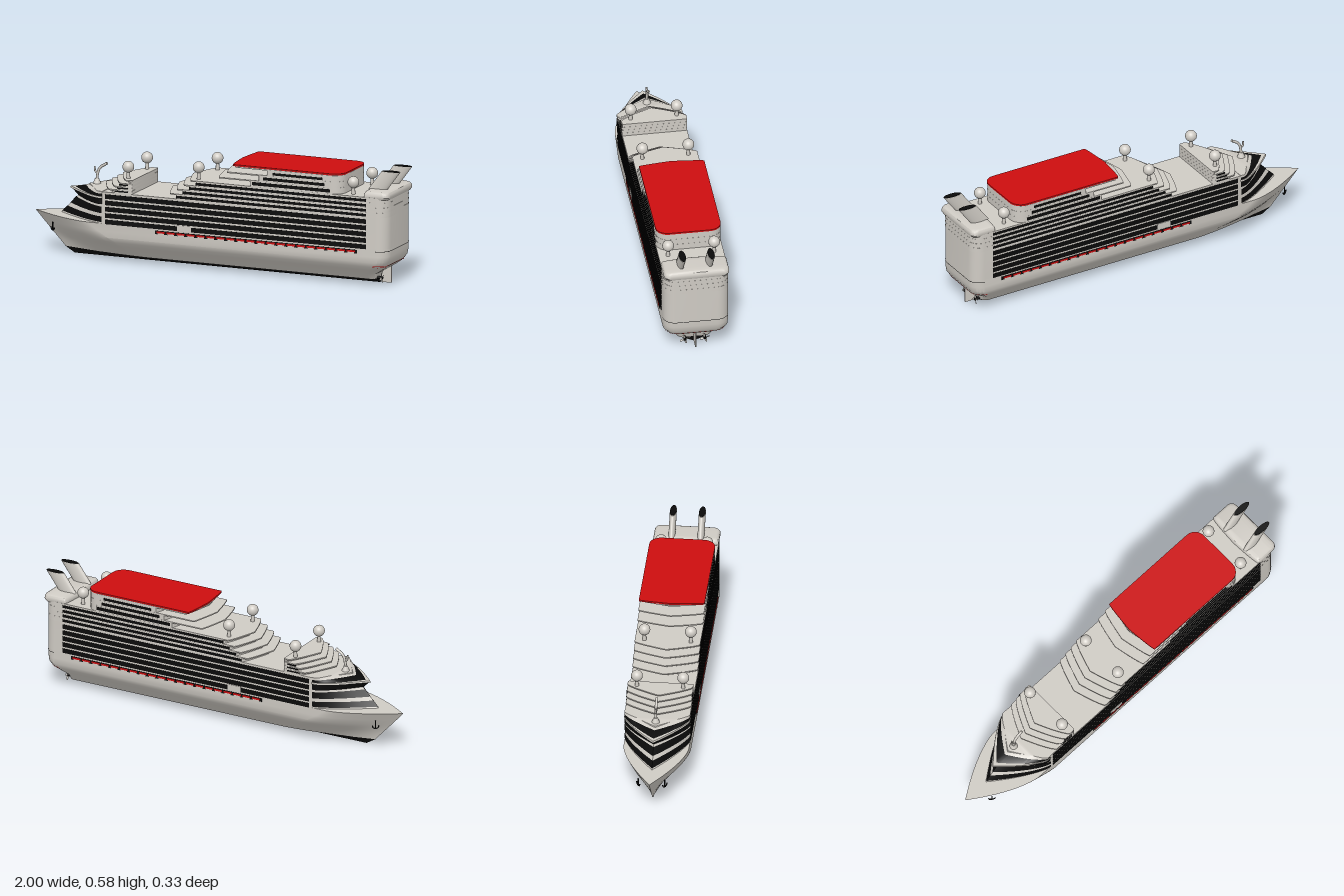
import * as THREE from 'three';
import { toCreasedNormals } from 'three/addons/utils/BufferGeometryUtils.js';

const paint = (name, color) => new THREE.MeshStandardMaterial({ name, color, side: THREE.DoubleSide });

// Half of a ship-shaped plan: curved nose, straight side, rounded stern corner
function halfPlan({ bow, nose, hw, stern, r = 0.01, p = 1.5 }) {
  const pts = [], R = Math.min(r, hw * 0.9);
  for (let i = 0; i <= 14; i++) {
    const t = i / 14;
    pts.push([bow + nose * t, hw * (1 - (1 - t) ** p)]);
  }
  for (let k = 0; k <= 6; k++) {
    const a = (k / 6) * Math.PI / 2;
    pts.push([stern - R + R * Math.sin(a), hw - R + R * Math.cos(a)]);
  }
  pts.push([stern, 0]);
  return pts;
}

// Skin stacked plans; "from" and "to" keep only that stretch of x
function loft(levels, { caps = true, from = -9, to = 9 } = {}) {
  const pos = [];
  const quad = (a, b, c, d) => pos.push(...a, ...b, ...c, ...a, ...c, ...d);
  const rings = levels.map((l) => {
    const h = halfPlan(l);
    return { l: h.map(([x, z]) => [x, l.y, z]), r: h.map(([x, z]) => [x, l.y, -z]) };
  });
  const n = rings[0].l.length;
  for (let k = 0; k + 1 < rings.length; k++) {
    const A = rings[k], B = rings[k + 1];
    for (let i = 0; i + 1 < n; i++) {
      if (A.l[i][0] < from || A.l[i + 1][0] > to) continue;
      quad(A.l[i], A.l[i + 1], B.l[i + 1], B.l[i]);
      quad(A.r[i + 1], A.r[i], B.r[i], B.r[i + 1]);
    }
  }
  if (caps) {
    const T = rings[rings.length - 1], B = rings[0];
    for (let i = 0; i + 1 < n; i++) {
      quad(T.l[i], T.l[i + 1], T.r[i + 1], T.r[i]);
      quad(B.r[i], B.r[i + 1], B.l[i + 1], B.l[i]);
    }
  }
  const g = new THREE.BufferGeometry();
  g.setAttribute('position', new THREE.Float32BufferAttribute(pos, 3));
  return toCreasedNormals(g, 0.6);
}

// Hull waterlines: y, bow, nose length, half width, stern, corner radius
const HULL = [
  [0, -0.79, 0.5, 0.002, 0.86, 0.002], [0.03, -0.84, 0.48, 0.085, 0.865, 0.03],
  [0.06, -0.868, 0.46, 0.11, 0.875, 0.05], [0.085, -0.892, 0.43, 0.132, 0.915, 0.06],
  [0.105, -0.911, 0.41, 0.148, 0.94, 0.06], [0.13, -0.935, 0.39, 0.162, 0.956, 0.06],
  [0.16, -0.963, 0.37, 0.162, 0.962, 0.06], [0.2, -1, 0.35, 0.162, 0.962, 0.06],
];
function hullAt(y, out = 0) {
  let k = 0;
  while (k < HULL.length - 2 && HULL[k + 1][0] < y) k++;
  const t = (y - HULL[k][0]) / (HULL[k + 1][0] - HULL[k][0]);
  const [, bow, nose, hw, stern, r] = HULL[k].map((v, i) => v + (HULL[k + 1][i] - v) * t);
  return { y, bow: bow - out, nose, hw: hw + out, stern: stern + out, r };
}

export function createModel() {
  const ship = new THREE.Group();
  ship.name = 'cruiseShip';
  const white = paint('hullWhite', 0xcfcbc4), black = paint('windowBlack', 0x0a0a0a), red = paint('roofRed', 0xcc0d0f);
  const add = (name, geo, mat, x = 0, y = 0, z = 0) => {
    const m = new THREE.Mesh(geo, mat);
    m.name = name;
    m.position.set(x, y, z);
    ship.add(m);
    return m;
  };
  const box = (name, mat, x0, x1, y0, y1, z, d) =>
    add(name, new THREE.BoxGeometry(x1 - x0, y1 - y0, d), mat, (x0 + x1) / 2, (y0 + y1) / 2, z);
  const sides = (f) => [1, -1].forEach(f);
  const stripe = (name, x0, x1, y0, y1, mat = black, z = 0.162) =>
    sides((s) => box(name, mat, x0, x1, y0, y1, s * z, 0.004));

  // Hull, dark bottom and thin stern lines
  add('hullBottom', loft([0, 0.015, 0.03].map((y) => hullAt(y))), black);
  add('hull', loft([0.03, 0.06, 0.085, 0.105, 0.13, 0.16, 0.2].map((y) => hullAt(y))), white);
  for (const y of [0.102, 0.109])
    add('sternRedLine', loft([hullAt(y, 0.002), hullAt(y + 0.003, 0.002)], { caps: false, from: 0.87 }), red);
  add('sternDarkLine', loft([hullAt(0.187, 0.001), hullAt(0.19, 0.001)], { caps: false, from: 0.89 }), black);

  // Lower house with raked, pointed front and black window bands
  const house = (y, out = 0) => {
    const bow = -0.86 + (y - 0.2) * 0.95;
    return { y, bow: bow - out, nose: -0.57 - bow, hw: 0.162 + out, stern: 0.962, r: 0.06, p: 1.35 };
  };
  add('lowerHouse', loft([house(0.2), house(0.3), house(0.36)]), white);
  for (const [a, b] of [[0.207, 0.235], [0.252, 0.285]])
    add('frontWindowBand', loft([house(a, 0.003), house(b, 0.003)], { caps: false, to: -0.56 }), black);

  // Bridge: flared windows, ledge and sloping upper glass
  const bridge = (y, bow, hw = 0.163) => ({ y, bow, nose: -0.59 - bow, hw, stern: -0.57, r: 0.004, p: 1.35 });
  add('bridgeWindows', loft([bridge(0.297, -0.775), bridge(0.328, -0.805)]), black);
  add('bridgeLedge', loft([bridge(0.328, -0.815, 0.164), bridge(0.336, -0.81, 0.164)]), white);
  add('bridgeUpperGlass', loft([bridge(0.336, -0.785, 0.162), bridge(0.35, -0.725, 0.162)]), black);
  add('bridgeRoof', loft([bridge(0.35, -0.73), bridge(0.362, -0.69)]), white);

  // Balcony rows on the lower house
  for (let i = 0; i < 5; i++) stripe('balconyRow', -0.555, 0.855, 0.198 + i * 0.032, 0.221 + i * 0.032);
  stripe('sidePlate', -0.165, -0.09, 0.198, 0.228, white, 0.1635);

  // Stepped terraces: recessed wall with an overhanging deck on each level
  function terrace(name, o) {
    const h = (o.y1 - o.y0) / o.n;
    for (let i = 0; i < o.n; i++) {
      const bow = o.b0 + (o.b1 - o.b0) * (i / (o.n - 1)), y = o.y0 + i * h;
      const plan = { nose: o.nose, hw: 0.162, stern: o.stern, r: o.r, p: 1.3 };
      const wall = { ...plan, bow: bow + o.recess };
      const deck = { ...plan, bow, hw: 0.1625, stern: o.stern + 0.0005 };
      add(name + 'Wall', loft([{ ...wall, y }, { ...wall, y: y + h }]), white);
      add(name + 'Deck', loft([{ ...deck, y: y + h - 0.006 }, { ...deck, y: y + h }]), white);
    }
  }
  terrace('forwardTerrace', { y0: 0.36, y1: 0.43, n: 4, b0: -0.62, b1: -0.53, nose: 0.09, stern: -0.41, r: 0.006, recess: 0.025 });
  for (let i = 0; i < 3; i++) stripe('forwardWindows', -0.5 + i * 0.01, -0.43, 0.366 + i * 0.0175, 0.373 + i * 0.0175);
  terrace('middleTerrace', { y0: 0.36, y1: 0.46, n: 4, b0: -0.26, b1: -0.15, nose: 0.06, stern: 0.962, r: 0.06, recess: 0.03 });
  for (let i = 0; i < 4; i++) stripe('upperBalconyRow', -0.17 + i * 0.035, 0.855, 0.363 + i * 0.025, 0.376 + i * 0.025);
  terrace('topTerrace', { y0: 0.46, y1: 0.553, n: 3, b0: 0.02, b1: 0.11, nose: 0.04, stern: 0.72, r: 0.06, recess: 0.17 });
  stripe('topWindows', 0.24, 0.66, 0.467, 0.483);
  stripe('topWindows', 0.3, 0.63, 0.497, 0.511);
  stripe('topWindows', 0.35, 0.62, 0.526, 0.538);

  // Red roof
  const roof = { bow: 0.115, nose: 0.02, hw: 0.163, stern: 0.722, r: 0.06 };
  add('roof', loft([{ ...roof, y: 0.554 }, { ...roof, y: 0.562 }]), red);

  // Rounded stern block carrying the funnels
  const block = (y, i) => ({ y, bow: 0.825 + i, nose: 0.02, hw: 0.163 - i, stern: 0.97 - i, r: 0.03, p: 2.5 });
  add('sternBlock', loft([block(0.45, 0.006), block(0.462, 0), block(0.476, 0.001), block(0.485, 0.006), block(0.49, 0.016)]), white);

  // Raked funnels with black mouths
  const shear = (g, k) => g.applyMatrix4(new THREE.Matrix4().set(1, k, 0, 0, 0, 1, 0, 0, 0, 0, 1, 0, 0, 0, 0, 1));
  sides((s) => {
    const tube = (h, sc) => new THREE.CylinderGeometry(0.05, 0.05, h, 24).scale(sc, 1, 0.34 * sc);
    add('funnel', shear(tube(0.094, 1), 0.75), white, 0.914, 0.533, s * 0.072);
    add('funnelMouth', shear(tube(0.003, 0.94), 0.75), black, 0.95, 0.581, s * 0.072);
  });

  // Radar domes on posts
  for (const [x, y, base] of [[-0.45, 0.488, 0.43], [-0.07, 0.52, 0.46], [0.765, 0.52, 0.46]])
    sides((s) => {
      add('radarDome', new THREE.SphereGeometry(0.029, 24, 16), white, x, y, s * 0.115);
      add('domePost', new THREE.CylinderGeometry(0.007, 0.01, y - base, 10), white, x, (y + base) / 2, s * 0.115);
    });

  // Curved forward mast with a short branch
  const horn = (pts, r) => new THREE.TubeGeometry(
    new THREE.CatmullRomCurve3(pts.map(([x, y]) => new THREE.Vector3(x, y, 0))), 12, r, 8);
  add('mast', horn([[-0.67, 0.355], [-0.668, 0.4], [-0.655, 0.44], [-0.615, 0.468]], 0.007), white);
  add('mastBranch', horn([[-0.667, 0.41], [-0.68, 0.425], [-0.682, 0.445]], 0.005), white);
  add('mastFoot', new THREE.CylinderGeometry(0.01, 0.022, 0.03, 12), white, -0.67, 0.372, 0);

  // Lifeboats in a dark recess
  stripe('lifeboatRecess', -0.285, 0.805, 0.172, 0.19);
  for (let i = 0; i < 20; i++) {
    const x = -0.275 + i * 0.054;
    stripe('lifeboatTop', x, x + 0.044, 0.178, 0.187, red, 0.164);
    stripe('lifeboatHull', x + 0.004, x + 0.04, 0.172, 0.178, white, 0.164);
  }

  // Bow anchors
  sides((s) => {
    const a = new THREE.Group();
    a.name = 'anchor';
    const shank = new THREE.Mesh(new THREE.BoxGeometry(0.006, 0.04, 0.004), black);
    const arms = new THREE.Mesh(new THREE.TorusGeometry(0.016, 0.003, 6, 12, Math.PI), black);
    arms.rotation.z = Math.PI;
    arms.position.y = -0.005;
    a.add(shank, arms);
    a.position.set(-0.88, 0.14, s * 0.066);
    a.rotation.y = -s * 0.6;
    ship.add(a);
  });

  // Rudder, shafts and propellers
  box('rudder', white, 0.868, 0.92, 0.002, 0.095, 0, 0.006);
  sides((s) => {
    const shaft = add('propellerShaft', new THREE.CylinderGeometry(0.007, 0.007, 0.07, 10), black, 0.86, 0.034, s * 0.05);
    shaft.rotation.z = Math.PI / 2;
    for (let i = 0; i < 4; i++) {
      const g = new THREE.SphereGeometry(1, 10, 6).scale(0.002, 0.013, 0.006).translate(0, 0.014, 0);
      const blade = add('propellerBlade', g.rotateY(0.5), white, 0.89, 0.034, s * 0.05);
      blade.rotation.x = i * Math.PI / 2 + 0.3;
    }
  });
  return ship;
}
